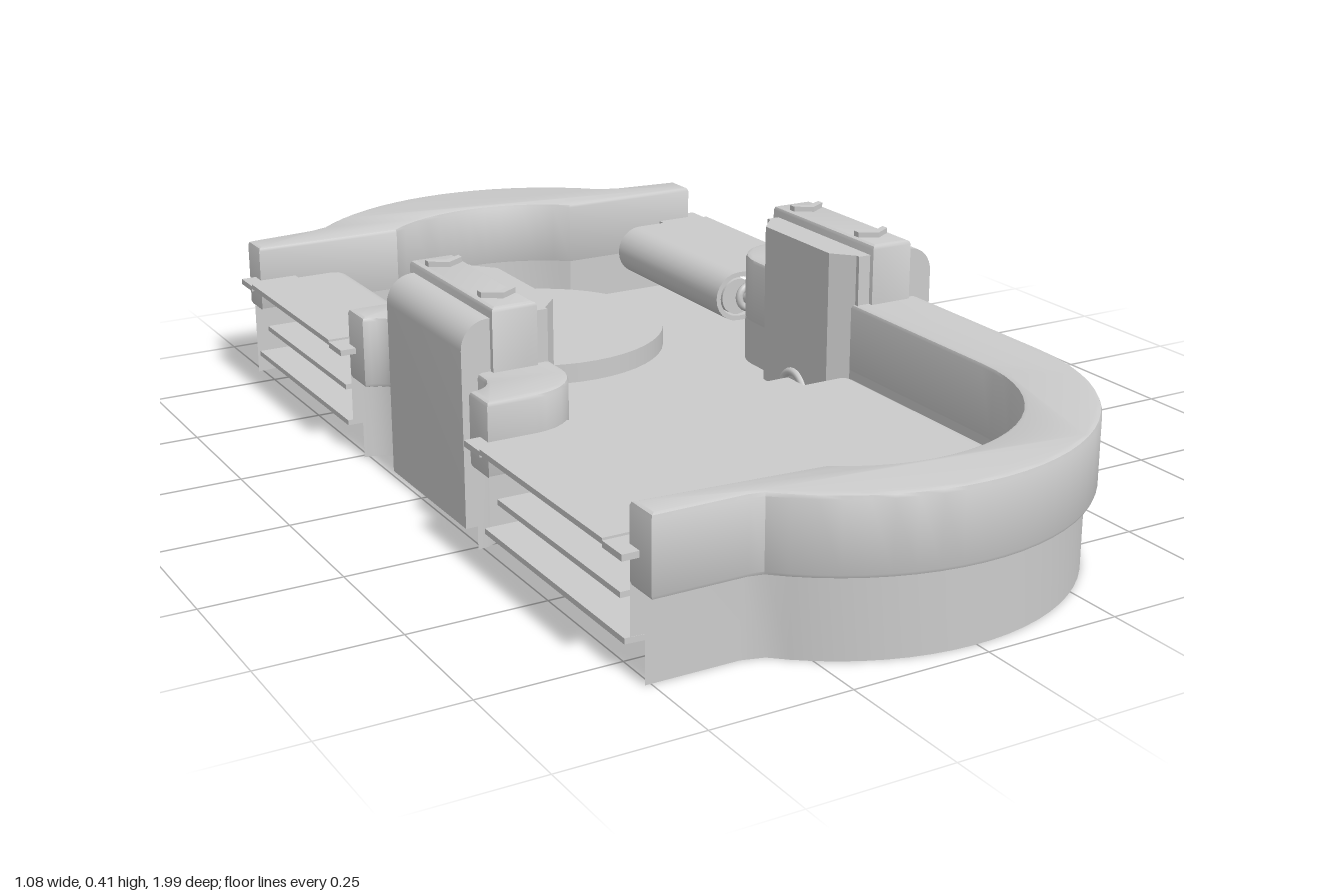
import * as THREE from 'three';
import { toCreasedNormals } from 'three/addons/utils/BufferGeometryUtils.js';

const PI = Math.PI;
const mat = new THREE.MeshStandardMaterial({ color: 0xcccccc, side: THREE.DoubleSide });

function mesh(name, geo, parent) {
  const m = new THREE.Mesh(geo, mat);
  m.name = name;
  parent.add(m);
  return m;
}

function box(name, x0, x1, y0, y1, z0, z1, parent) {
  const g = new THREE.BoxGeometry(x1 - x0, y1 - y0, z1 - z0);
  g.translate((x0 + x1) / 2, (y0 + y1) / 2, (z0 + z1) / 2);
  return mesh(name, g, parent);
}

// Points [x, z] along an arc
function arc(cx, cz, r, a0, a1, n = 8) {
  return Array.from({ length: n + 1 }, (_, i) => {
    const a = a0 + ((a1 - a0) * i) / n;
    return [cx + r * Math.cos(a), cz + r * Math.sin(a)];
  });
}

// Solid with a plan outline given as [x, z], from y0 to y1
function slab(pts, y0, y1, bevel = 0) {
  const shape = new THREE.Shape(pts.map(([x, z]) => new THREE.Vector2(x, -z)));
  const g = new THREE.ExtrudeGeometry(shape, {
    depth: y1 - y0 - 2 * bevel, bevelEnabled: bevel > 0, bevelSize: bevel,
    bevelThickness: bevel, bevelOffset: -bevel, bevelSegments: 2,
  });
  g.rotateX(-PI / 2).translate(0, y0 + bevel, 0);
  return toCreasedNormals(g, 0.5);
}

// Thin upright sheet following a plan line
function sheet(pts, y0, y1) {
  const pos = [], idx = [];
  pts.forEach(([x, z], i) => {
    pos.push(x, y0, z, x, y1, z);
    if (i) idx.push(2 * i - 2, 2 * i, 2 * i - 1, 2 * i - 1, 2 * i, 2 * i + 1);
  });
  const g = new THREE.BufferGeometry();
  g.setAttribute('position', new THREE.Float32BufferAttribute(pos, 3));
  g.setIndex(idx);
  return toCreasedNormals(g, 0.5);
}

// Solid with a profile given as [x, y], extruded from z0 to z1
function prism(pts, z0, z1) {
  const shape = new THREE.Shape(pts.map(([x, y]) => new THREE.Vector2(x, y)));
  const g = new THREE.ExtrudeGeometry(shape, { depth: z1 - z0, bevelEnabled: false });
  return toCreasedNormals(g.translate(0, 0, z0), 0.5);
}

// Drops the faces lying on the ground, leaving a hollow shell
function openBottom(g) {
  const p = g.attributes.position, keep = [];
  for (let i = 0; i < p.count; i += 3) {
    if (Math.max(p.getY(i), p.getY(i + 1), p.getY(i + 2)) > 0.001) keep.push(i, i + 1, i + 2);
  }
  g.setIndex(keep);
  return g;
}

// Wall lines on the inner side
const backInner = [[-0.51, -0.77], ...arc(0, -0.53, 0.316, -2.28, -0.86, 12), [0.51, -0.77]];
const frontInner = [[0.51, -0.29], ...arc(0.42, -0.19, 0.1, -PI / 2, -PI),
  ...arc(0, 0.55, 0.32, 0, 2.17, 20), [-0.51, 0.79]];
const leftInner = [[-0.51, 0.31], ...arc(-0.42, 0.21, 0.1, PI / 2, 0),
  ...arc(-0.42, -0.19, 0.1, 0, -PI / 2), [-0.51, -0.29]];

// Wall lines on the outer side, set in by d
const backOuter = (d) => [[0.51, -0.835 + d], [0.37, -0.85 + d],
  ...arc(0, -0.53, 0.47 - d, -0.79, -2.352, 18), [-0.37, -0.85 + d], [-0.51, -0.835 + d]];
const frontOuter = (d) => [[-0.51, 0.855 - d], [-0.345, 0.855 - d],
  ...arc(0, 0.53, 0.46 - d, 2.34, 0, 28), ...arc(0.51, -0.17, 0.05 + d, PI, 1.5 * PI, 6)];
const leftOuter = (d) => [...arc(-0.51, -0.17, 0.05 + d, -PI / 2, 0, 6),
  ...arc(-0.51, 0.19, 0.05 + d, 0, PI / 2, 6)];

function buildWall(name, inner, outer, parent) {
  const g = new THREE.Group();
  g.name = name;
  mesh('upperWall', slab([...inner, ...outer(0)], 0.143, 0.28, 0.008), g);
  mesh('lowerOuterSkin', sheet(outer(0.02), 0, 0.145), g);
  mesh('lowerInnerSkin', sheet(inner, 0.05, 0.15), g);
  parent.add(g);
}

// Belt running from the outer edge x = 0.54 in to a roller at x = xa
function buildBelt(name, xa, zc, side, parent) {
  const g = new THREE.Group();
  g.name = name;
  const y = 0.163;
  const loop = [[0.54, y + 0.052], ...arc(xa, y, 0.052, PI / 2, 1.5 * PI, 12), [0.51, y - 0.052],
    [0.51, y - 0.042], ...arc(xa, y, 0.042, 1.5 * PI, PI / 2, 12), [0.54, y + 0.042]];
  mesh('belt', prism(loop, -0.21, 0.21), g);
  for (const s of [-1, 1]) {
    const rail = box('sideRail', xa + 0.07, 0.54, 0.2, 0.211, -0.03, 0.03, g);
    rail.position.z = s * 0.24;
    const hub = mesh('rollerHub', new THREE.TorusGeometry(0.024, 0.008, 8, 20), g);
    hub.position.set(xa + 0.02, y, s * 0.222);
  }
  for (const [part, r, len] of [['roller', 0.038, 0.42], ['axle', 0.016, 0.48]]) {
    const c = mesh(part, new THREE.CylinderGeometry(r, r, len, 20), g);
    c.rotation.x = PI / 2;
    c.position.set(xa + (part === 'axle' ? 0.02 : 0), y, 0);
  }
  g.position.z = zc;
  g.scale.x = side;
  parent.add(g);
}

function buildPillar(name, side, parent) {
  const g = new THREE.Group();
  g.name = name;
  // Hollow body with a rounded outer shoulder
  const profile = [[0.325, 0], [0.49, 0], ...arc(0.44, 0.325, 0.05, 0, PI / 2), [0.325, 0.375]];
  mesh('pillarBody', openBottom(prism(profile, -0.148, 0.168)), g);
  // Chamfered panel facing the passage
  mesh('innerPanel', slab([[0.33, -0.145], [0.33, 0.165], [0.29, 0.12], [0.29, -0.1]], 0.05, 0.375), g);
  mesh('centreBand', slab([[0.35, -0.165], [0.435, -0.165], [0.435, 0.178], [0.35, 0.178]], 0.05, 0.395, 0.008), g);
  // Arrow marks on the cap
  for (const z of [-0.105, 0.115]) {
    const v = [[-0.033, -0.015], [0, 0.004], [0.033, -0.015], [0.033, 0], [0, 0.02], [-0.033, 0]];
    mesh('arrowMark', slab(v.map(([a, b]) => [a + 0.392, b + z]), 0.39, 0.405), g);
  }
  const arch = mesh('archHandle', new THREE.TorusGeometry(0.038, 0.008, 8, 16, PI), g);
  arch.rotation.y = PI / 2;
  arch.position.set(0.288, 0.07, 0.01);
  g.scale.x = side;
  parent.add(g);
}

export function createModel() {
  const model = new THREE.Group();
  model.name = 'conveyorRoom';

  // Floor plate and round platform
  const widen = (pts) => pts.map(([x, z]) => [Math.abs(x) > 0.5 ? Math.sign(x) * 0.52 : x, z]);
  mesh('floor', slab(widen([...backInner, ...frontInner, ...leftInner]), 0.05, 0.06), model);
  const disc = mesh('roundPlatform', new THREE.CylinderGeometry(0.265, 0.265, 0.055, 48), model);
  disc.position.set(0, 0.0725, -0.53);

  buildWall('backWall', backInner, backOuter, model);
  buildWall('frontWall', frontInner, frontOuter, model);
  buildWall('leftOfPassageWall', leftInner, leftOuter, model);

  buildBelt('backLeftBelt', 0.365, -0.53, 1, model);
  buildBelt('backRightBelt', 0.365, -0.53, -1, model);
  buildBelt('frontBelt', -0.168, 0.55, -1, model);

  buildPillar('leftPillar', 1, model);
  buildPillar('rightPillar', -1, model);
  return model;
}
